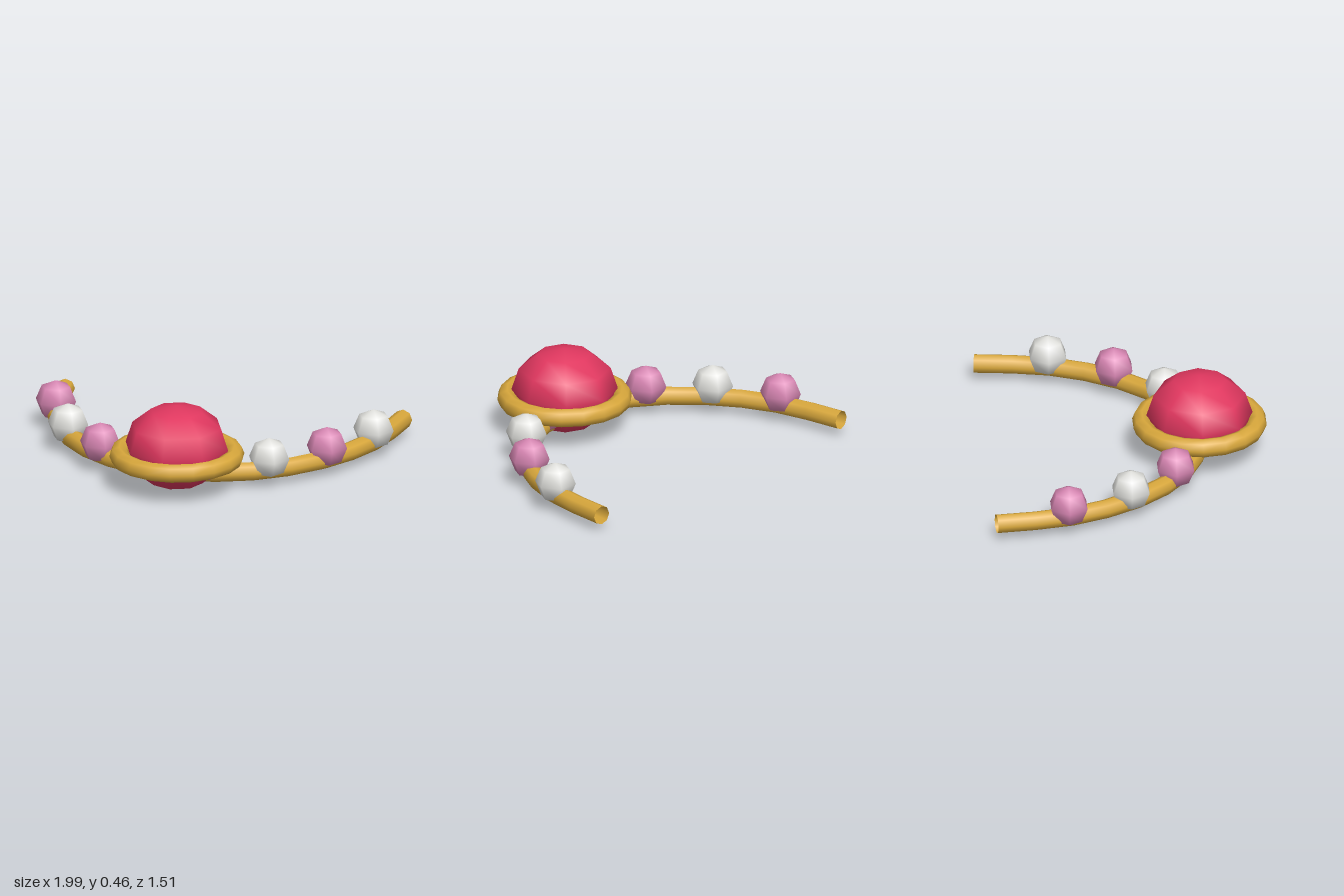
import * as THREE from 'three';

const material = (color, side = THREE.FrontSide) => new THREE.MeshStandardMaterial({ color, side });

export function createModel() {
  const group = new THREE.Group();
  const gold = material(0xd9a83c, THREE.DoubleSide);
  const ruby = material(0xe0375f);
  const pink = material(0xd987b4);
  const pearl = material(0xe4e4e0);

  const add = (name, geometry, mat, x, y, z) => {
    const mesh = new THREE.Mesh(geometry, mat);
    mesh.name = name;
    mesh.position.set(x, y, z);
    group.add(mesh);
    return mesh;
  };

  // Half-ellipse path, opening to the back; ten evenly spaced stations from right to left
  const stations = Array.from({ length: 10 }, (_, i) => {
    const a = (i / 9) * Math.PI;
    return new THREE.Vector3(-0.94 * Math.cos(a), 0, -0.755 + 1.145 * Math.sin(a));
  });

  // Band
  const path = new THREE.CatmullRomCurve3(stations);
  add('band', new THREE.TubeGeometry(path, 16, 0.052, 8, false), gold, 0, 0.087, 0);

  // Alternating beads on the inner stations
  const beadGeometry = new THREE.SphereGeometry(0.112, 6, 4);
  stations.slice(1, -1).forEach((p, i) => {
    add(`bead${i + 1}`, beadGeometry, i % 2 ? pearl : pink, p.x, 0.155, p.z);
  });

  // Centre stone, slightly flattened
  const stone = add('centreStone', new THREE.SphereGeometry(0.285, 8, 6), ruby, 0, 0.232, 0.395);
  stone.scale.y = 0.23 / 0.285;

  // Setting ring around the stone
  const ring = add('settingRing', new THREE.TorusGeometry(0.311, 0.052, 8, 18), gold, 0, 0.182, 0.395);
  ring.rotation.x = Math.PI / 2;

  return group;
}
